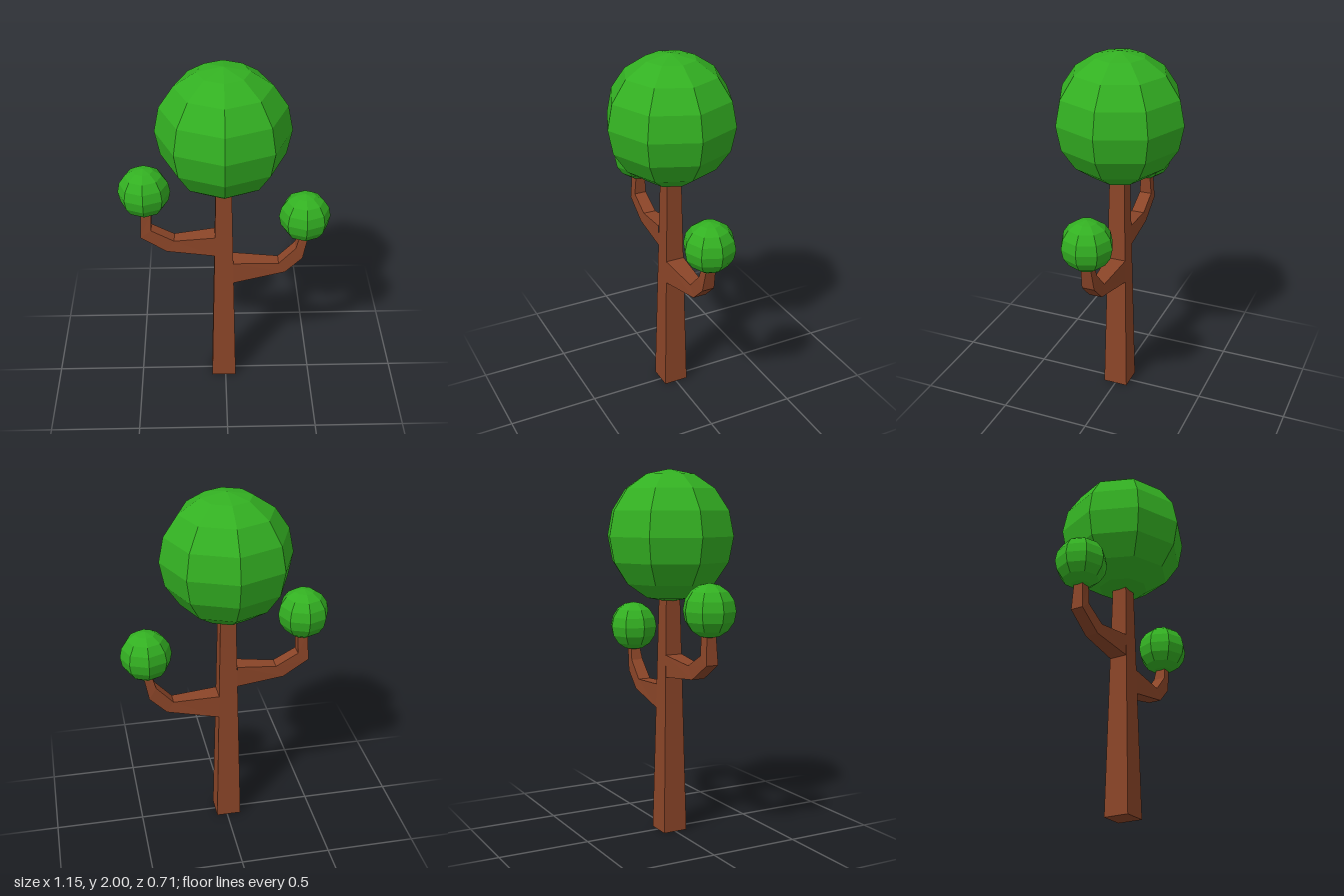
import * as THREE from 'three';

const bark = new THREE.MeshStandardMaterial({ color: 0x8b4528, flatShading: true });
const leaf = new THREE.MeshStandardMaterial({ color: 0x33b022, flatShading: true });

function addMesh(group, name, geometry, material) {
  const mesh = new THREE.Mesh(geometry, material);
  mesh.name = name;
  group.add(mesh);
  return mesh;
}

// Faceted ball of leaves
function addFoliage(group, name, x, y, radius) {
  addMesh(group, name, new THREE.SphereGeometry(radius, 8, 8), leaf).position.set(x, y, 0);
}

// Four-sided branch through sections [lowerX, lowerY, upperX, upperY, halfDepth]
function branchGeometry(sections) {
  const side = Math.sign(sections[1][0]);
  const rings = sections.map(([lx, ly, ux, uy, h]) => {
    const d = h * side;
    return [[lx, ly, d], [lx, ly, -d], [ux, uy, -d], [ux, uy, d]];
  });
  const positions = [];
  for (let i = 0; i < rings.length - 1; i++) {
    for (let j = 0; j < 4; j++) {
      const k = (j + 1) % 4;
      const a = rings[i][j], b = rings[i][k], c = rings[i + 1][k], d = rings[i + 1][j];
      positions.push(...a, ...b, ...c, ...a, ...c, ...d);
    }
  }
  const geometry = new THREE.BufferGeometry();
  geometry.setAttribute('position', new THREE.Float32BufferAttribute(positions, 3));
  geometry.computeVertexNormals();
  return geometry;
}

export function createModel() {
  const tree = new THREE.Group();
  tree.name = 'tree';

  // Square tapered trunk, ending inside the crown
  const trunk = new THREE.CylinderGeometry(0.042 * Math.SQRT2, 0.07 * Math.SQRT2, 1.33, 4);
  trunk.rotateY(Math.PI / 4);
  addMesh(tree, 'trunk', trunk, bark).position.set(-0.01, 0.665, 0);

  // Bent branches, ending inside their foliage
  addMesh(tree, 'leftBranch', branchGeometry([
    [0.045, 0.69, 0.042, 0.825, 0.054],
    [0.335, 0.75, 0.297, 0.81, 0.037],
    [0.43, 0.844, 0.39, 0.91, 0.035],
    [0.458, 0.99, 0.412, 0.99, 0.027],
  ]), bark);
  addMesh(tree, 'rightBranch', branchGeometry([
    [-0.061, 0.878, -0.059, 1.0, 0.05],
    [-0.325, 0.905, -0.283, 0.974, 0.037],
    [-0.468, 0.998, -0.407, 1.043, 0.035],
    [-0.459, 1.16, -0.402, 1.16, 0.027],
  ]), bark);

  // Foliage
  addFoliage(tree, 'crown', -0.01, 1.643, 0.357);
  addFoliage(tree, 'leftFoliage', 0.434, 1.106, 0.141);
  addFoliage(tree, 'rightFoliage', -0.436, 1.277, 0.141);

  return tree;
}
